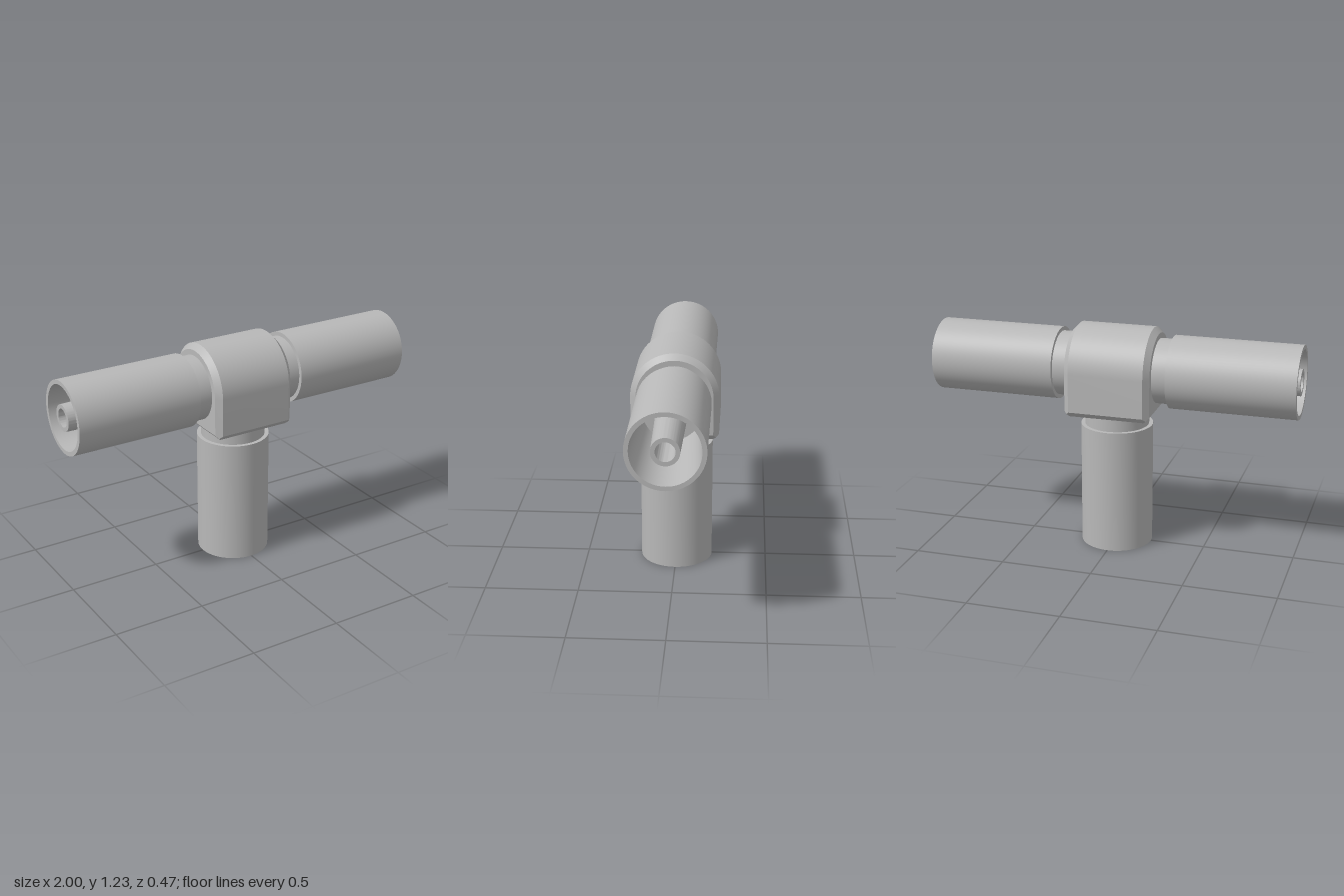
import * as THREE from 'three';
import { toCreasedNormals } from 'three/addons/utils/BufferGeometryUtils.js';

const AXIS_Y = 1;      // height of the horizontal arms
const HALF = 0.2345;   // half size of the central body
const BEVEL = 0.03;    // edge chamfer of the body
const NECK_R = 0.175;
const BORE_R = 0.049;
const CUP_FLOOR = 0.45; // distance from the centre to the floor of each socket

const plastic = new THREE.MeshStandardMaterial({ color: 0xb8b8b8 });
plastic.name = 'grey';

function addMesh(parent, name, geometry) {
  const mesh = new THREE.Mesh(geometry, plastic);
  mesh.name = name;
  parent.add(mesh);
  return mesh;
}

function lathe(profile) {
  const points = profile.map(([r, h]) => new THREE.Vector2(r, h));
  return toCreasedNormals(new THREE.LatheGeometry(points, 72), 0.5);
}

// Arched outline: round top, square bottom with corners cut by k
function archOutline(r, k) {
  const points = [];
  const steps = 48;
  for (let i = 0; i <= steps; i++) {
    const a = (Math.PI * i) / steps;
    points.push([r * Math.cos(a), r * Math.sin(a)]);
  }
  points.push([-r, k - r], [k - r, -r], [r - k, -r], [r, k - r]);
  return points;
}

// Chamfered shell lofted along x through six arched sections
function bodyShell() {
  const half = [
    [HALF, HALF - BEVEL, 0],
    [HALF - BEVEL / 2, HALF - BEVEL / 2, 0],
    [HALF - BEVEL, HALF, BEVEL],
  ];
  const sections = [
    ...half.map(([x, r, k]) => [-x, r, k]),
    ...half.slice().reverse(),
  ];
  const positions = [];
  const index = [];
  let n = 0;
  for (const [x, r, k] of sections) {
    const outline = archOutline(r, k);
    n = outline.length;
    for (const [z, y] of outline) positions.push(x, y, z);
  }
  for (let s = 0; s < sections.length - 1; s++) {
    for (let i = 0; i < n; i++) {
      const j = (i + 1) % n;
      const a = s * n + i, b = a + n, c = s * n + j, d = c + n;
      index.push(a, b, c, b, d, c);
    }
  }
  const geometry = new THREE.BufferGeometry();
  geometry.setAttribute('position', new THREE.Float32BufferAttribute(positions, 3));
  geometry.setIndex(index);
  return toCreasedNormals(geometry, 0.4);
}

// Flat end of the body, open where the neck enters
function bodyEnd(side) {
  const outline = archOutline(HALF - BEVEL, 0).map(([x, y]) => new THREE.Vector2(x, y));
  const shape = new THREE.Shape(outline);
  shape.holes.push(new THREE.Path().absarc(0, 0, NECK_R - 0.005, 0, Math.PI * 2, true));
  const geometry = new THREE.ShapeGeometry(shape, 48);
  geometry.rotateY((side * Math.PI) / 2);
  geometry.translate(side * HALF, 0, 0);
  return geometry;
}

// One arm pointing along its local +y: neck, socket sleeve and hollow inner tube
function createArm(name, boreStart) {
  const arm = new THREE.Group();
  arm.name = name;
  addMesh(arm, 'neck', lathe([[NECK_R, 0.2], [NECK_R, 0.32]]));
  addMesh(arm, 'sleeve', lathe([
    [NECK_R - 0.01, 0.313], [0.197, 0.313], [0.197, 1],
    [0.174, 1], [0.15, CUP_FLOOR], [0.08, CUP_FLOOR],
  ]));
  addMesh(arm, 'innerTube', lathe([
    [0.082, CUP_FLOOR], [0.071, 1], [BORE_R, 1], [BORE_R, boreStart],
  ]));
  arm.position.y = AXIS_Y;
  return arm;
}

export function createModel() {
  const model = new THREE.Group();
  model.name = 'teeConnector';

  const body = new THREE.Group();
  body.name = 'body';
  body.position.y = AXIS_Y;
  addMesh(body, 'bodyShell', bodyShell());
  addMesh(body, 'leftBodyEnd', bodyEnd(1));
  addMesh(body, 'rightBodyEnd', bodyEnd(-1));
  model.add(body);

  // The two side bores meet in the middle to form one through hole
  const leftArm = createArm('leftArm', 0);
  leftArm.rotation.z = -Math.PI / 2;
  const rightArm = createArm('rightArm', 0);
  rightArm.rotation.z = Math.PI / 2;
  const lowerArm = createArm('lowerArm', 0.2);
  lowerArm.rotation.z = Math.PI;
  model.add(leftArm, rightArm, lowerArm);

  return model;
}
